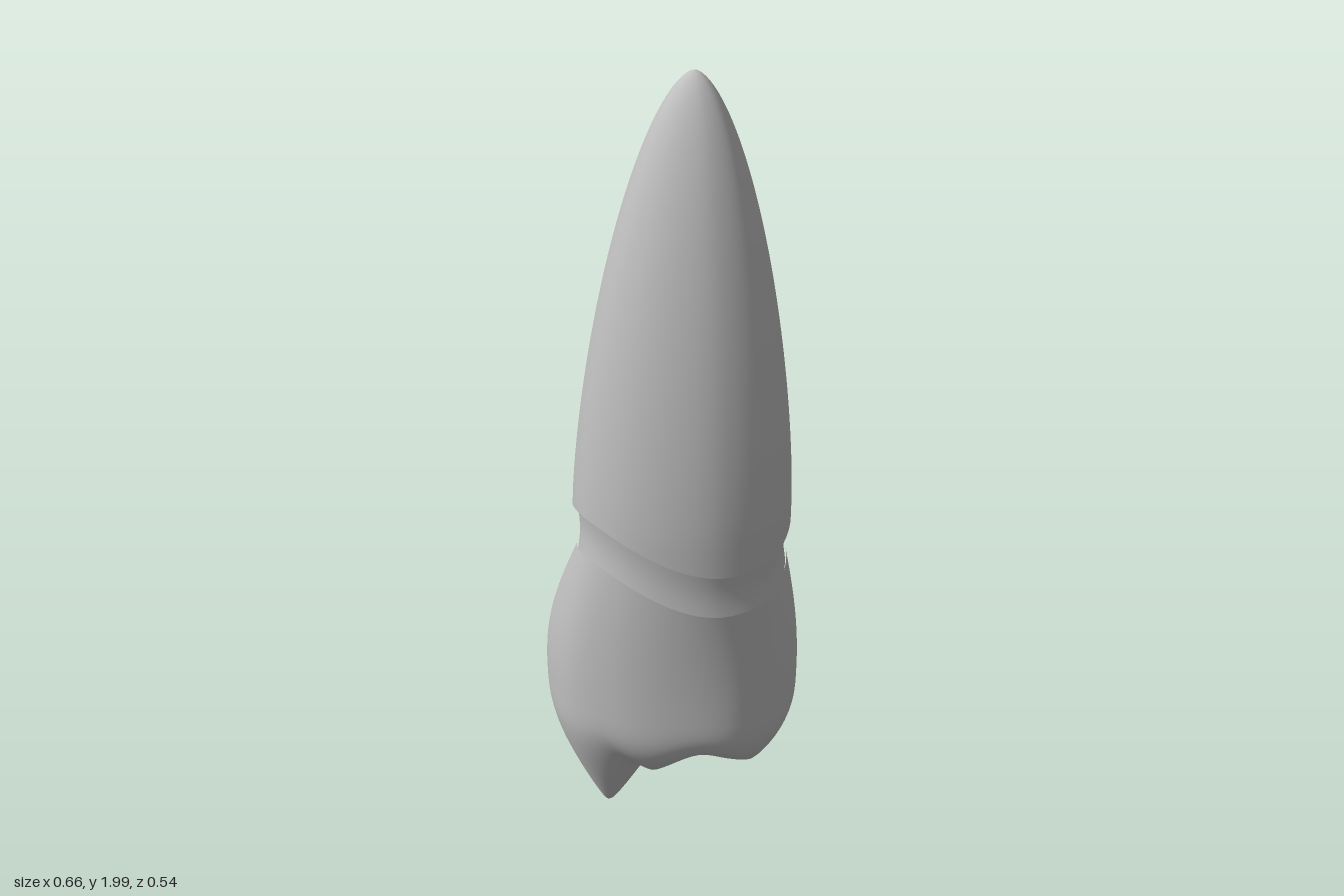
import * as THREE from 'three';

const COLS = 128;
const ivory = new THREE.MeshStandardMaterial({ color: 0xbfbfbf });
ivory.name = 'plain grey';

// Closed outlines seen from above, one [x, z] point every 30 degrees from +x towards +z
const outline = (pts) =>
  new THREE.CatmullRomCurve3(pts.map(([x, z]) => new THREE.Vector3(x, 0, z)), true);
const rootOutline = outline([
  [0.295, 0.04], [0.26, 0.16], [0.15, 0.245], [0.02, 0.27], [-0.1, 0.25], [-0.19, 0.19],
  [-0.235, 0.08], [-0.205, -0.07], [-0.12, -0.165], [0.02, -0.205], [0.15, -0.17], [0.255, -0.075],
]);
const crownOutline = outline([
  [0.325, 0.0], [0.3, 0.1], [0.2, 0.205], [0.03, 0.25], [-0.12, 0.243], [-0.25, 0.185],
  [-0.328, 0.04], [-0.3, -0.13], [-0.2, -0.225], [0.0, -0.27], [0.18, -0.22], [0.295, -0.115],
]);

// Root outline scaled about its own axis
function rootPoint(t, scale, lean = 0) {
  const p = rootOutline.getPoint(t);
  return new THREE.Vector3(0.03 + lean + (p.x - 0.03) * scale, 0, 0.03 + (p.z - 0.03) * scale);
}

// Scalloped lower edge of the root
function margin(t) {
  const a = t * Math.PI * 2;
  return 0.92 - 0.045 * Math.cos(2 * (a - 0.96)) - 0.015 * Math.cos(a);
}

// Closed surface of rings from top to bottom; point(row, t) gives each vertex
function ringMesh(name, rows, point) {
  const pos = [], index = [];
  for (let i = 0; i <= rows; i++) {
    for (let j = 0; j < COLS; j++) {
      const p = point(i, j / COLS);
      pos.push(p.x, p.y, p.z);
      if (i === rows) continue;
      const a = i * COLS + j, b = i * COLS + (j + 1) % COLS;
      index.push(a, b, a + COLS, b, b + COLS, a + COLS);
    }
  }
  const geo = new THREE.BufferGeometry();
  geo.setAttribute('position', new THREE.Float32BufferAttribute(pos, 3));
  geo.setIndex(index);
  geo.computeVertexNormals();
  const mesh = new THREE.Mesh(geo, ivory);
  mesh.name = name;
  return mesh;
}

// Tapering root with a rounded tip
function makeRoot() {
  const rows = 60;
  return ringMesh('root', rows, (i, t) => {
    const k = (i / rows) ** 1.6;
    const y = THREE.MathUtils.lerp(2, margin(t), k);
    const u = Math.min(1, (2 - y) / 1.05);
    const p = rootPoint(t, (1 - (1 - u) ** 1.5) ** 0.6, 0.02 * (1 - u));
    p.y = y;
    return p;
  });
}

// Underside of the root edge, stepping in to the neck
function makeRootLip() {
  return ringMesh('rootLip', 1, (i, t) => {
    const p = rootPoint(t, i ? 0.92 : 1);
    p.y = margin(t) + i * 0.005;
    return p;
  });
}

// Slightly waisted band between root and crown
function makeNeck() {
  return ringMesh('neck', 10, (i, t) => {
    const k = i / 10;
    const p = rootPoint(t, 0.965 - 0.025 * Math.sin(k * Math.PI));
    p.y = margin(t) + 0.01 - 0.14 * k;
    return p;
  });
}

// Chewing surface: pointed cusps [x, z, tip height, slope] blended into a shallow basin
const cusps = [
  [-0.168, 0.07, -0.03, 1.85],
  [0.12, -0.09, 0.095, 1.3],
  [0.22, 0.1, 0.18, 0.65],
  [-0.03, 0.16, 0.18, 0.75],
];
function chewingHeight(x, z) {
  const soft = 0.015;
  let sum = Math.exp(-0.28 / soft);
  for (const [cx, cz, tip, slope] of cusps) {
    const d = Math.hypot(x - cx, z - cz, 0.012);
    sum += Math.exp(-(tip + slope * d) / soft);
  }
  return -soft * Math.log(sum);
}

// Crown: wall swelling to its widest ring, then turning under into the cusps
function makeCrown() {
  const wall = 24, under = 64, widest = 0.45;
  return ringMesh('crown', wall + under, (i, t) => {
    const wide = crownOutline.getPoint(t);
    if (i <= wall) {
      const s = i / wall;
      const p = rootPoint(t, 0.975).lerp(wide, Math.sin(s * Math.PI / 2));
      p.y = THREE.MathUtils.lerp(margin(t) - 0.115, widest, s);
      return p;
    }
    const k = (i - wall) / under;
    const r = 1 - k * k;
    const p = wide.multiplyScalar(r);
    p.y = widest - (widest - chewingHeight(p.x, p.z)) * (1 - r ** 4) ** 0.25;
    p.y = Math.max(0, p.y);
    return p;
  });
}

export function createModel() {
  const tooth = new THREE.Group();
  tooth.name = 'tooth';
  tooth.add(makeRoot(), makeRootLip(), makeNeck(), makeCrown());
  return tooth;
}
